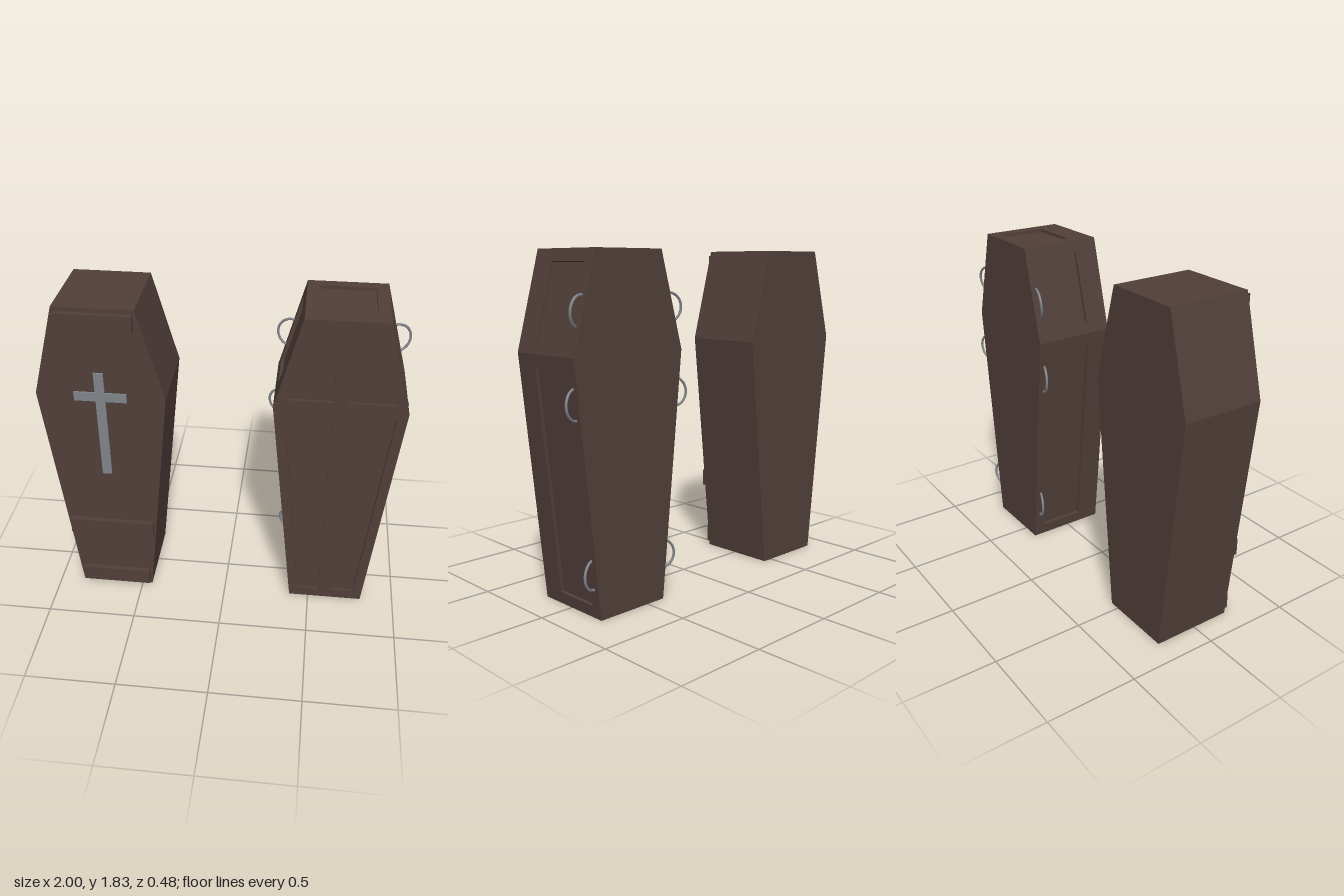
import * as THREE from 'three';

const FRONT = 0.215, BACK = -0.24, RECESS = 0.018;
const wood = new THREE.MeshStandardMaterial({ name: 'dark wood', color: 0x513f39 });
const metal = new THREE.MeshStandardMaterial({ name: 'grey metal', color: 0x808389 });

// Six-sided outline, counter-clockwise from the right foot corner
const OUTLINE = [[0.21, 0], [0.347, 1.318], [0.21, 1.825], [-0.21, 1.825], [-0.347, 1.318], [-0.21, 0]]
  .map(([x, y]) => new THREE.Vector2(x, y));

function add(parent, name, geometry, material) {
  const mesh = new THREE.Mesh(geometry, material);
  mesh.name = name;
  parent.add(mesh);
  return mesh;
}

function rectangle(x0, y0, x1, y1) {
  return [[x0, y0], [x1, y0], [x1, y1], [x0, y1]].map(([x, y]) => new THREE.Vector2(x, y));
}

// Flat face in the xy plane with sunken panels (panels run counter-clockwise)
function panelledFace(outline, panels) {
  const pos = [];
  const addShape = (shape, z) => {
    const g = new THREE.ShapeGeometry(shape).toNonIndexed();
    g.translate(0, 0, z);
    for (const v of g.attributes.position.array) pos.push(v);
  };
  const face = new THREE.Shape(outline);
  face.holes = panels.map((p) => new THREE.Path(p));
  addShape(face, 0);
  for (const p of panels) {
    addShape(new THREE.Shape(p), -RECESS);
    p.forEach((a, i) => {
      const b = p[(i + 1) % p.length];
      pos.push(a.x, a.y, 0, b.x, b.y, 0, b.x, b.y, -RECESS);
      pos.push(a.x, a.y, 0, b.x, b.y, -RECESS, a.x, a.y, -RECESS);
    });
  }
  const g = new THREE.BufferGeometry();
  g.setAttribute('position', new THREE.Float32BufferAttribute(pos, 3));
  g.computeVertexNormals();
  return g;
}

function plainCoffin() {
  const coffin = new THREE.Group();
  coffin.name = 'plainCoffin';
  const body = new THREE.ExtrudeGeometry(new THREE.Shape(OUTLINE), { depth: FRONT - BACK, bevelEnabled: false });
  body.translate(0, 0, BACK);
  add(coffin, 'coffinBody', body, wood);

  // Raised boards across the lid
  for (const [name, width, y] of [['topBoard', 0.4, 1.753], ['middleBoard', 0.484, 0.438], ['footBoard', 0.4, 0.067]]) {
    add(coffin, name, new THREE.BoxGeometry(width, 0.095, 0.027), wood).position.set(0, y, FRONT + 0.0135);
  }

  // Thin cross in one piece
  const cross = new THREE.Shape([
    [-0.026, 0.82], [0.026, 0.82], [0.026, 1.29], [0.141, 1.29], [0.141, 1.342], [0.026, 1.342],
    [0.026, 1.46], [-0.026, 1.46], [-0.026, 1.342], [-0.141, 1.342], [-0.141, 1.29], [-0.026, 1.29],
  ].map(([x, y]) => new THREE.Vector2(x, y)));
  const plate = new THREE.ExtrudeGeometry(cross, { depth: 0.009, bevelEnabled: false });
  add(coffin, 'cross', plate, metal).position.z = FRONT;
  return coffin;
}

function panelledCoffin() {
  const coffin = new THREE.Group();
  coffin.name = 'panelledCoffin';

  // Lid with four sunken panels, mirrored left to right
  const right = [
    [[0.039, 0.056], [0.164, 0.056], [0.288, 1.282], [0.039, 1.282]],
    [[0.039, 1.363], [0.281, 1.363], [0.168, 1.772], [0.039, 1.772]],
  ].map((p) => p.map(([x, y]) => new THREE.Vector2(x, y)));
  const left = right.map((p) => p.map((v) => new THREE.Vector2(-v.x, v.y)).reverse());
  add(coffin, 'lid', panelledFace(OUTLINE, [...right, ...left]), wood).position.z = FRONT;

  // Plain back
  const back = add(coffin, 'back', panelledFace(OUTLINE, []), wood);
  back.position.z = BACK;
  back.rotation.y = Math.PI;

  // One sunken panel on each of the six sides
  const names = ['leftLowerSide', 'leftUpperSide', 'headEnd', 'rightUpperSide', 'rightLowerSide', 'footEnd'];
  OUTLINE.forEach((a, i) => {
    const b = OUTLINE[(i + 1) % 6];
    const length = a.distanceTo(b);
    const along = new THREE.Vector3((b.x - a.x) / length, (b.y - a.y) / length, 0);
    const out = new THREE.Vector3(along.y, -along.x, 0);
    const inset = 0.064;
    const g = panelledFace(rectangle(-FRONT, 0, -BACK, length), [rectangle(-0.08, inset, 0.18, length - inset)]);
    g.applyMatrix4(new THREE.Matrix4().makeBasis(new THREE.Vector3(0, 0, -1), along, out).setPosition(a.x, a.y, 0));
    add(coffin, names[i], g, wood);
  });

  // Three half-ring handles on each side, leaning slightly backwards
  const ring = new THREE.TorusGeometry(0.077, 0.007, 8, 28, Math.PI);
  for (const side of [1, -1]) {
    for (const [y, from] of [[0.235, 0], [1.095, 0], [1.532, 1]]) {
      const a = OUTLINE[from], b = OUTLINE[from + 1];
      const x = a.x + (b.x - a.x) * (y - a.y) / (b.y - a.y);
      const along = new THREE.Vector3(side * (b.x - a.x), b.y - a.y, 0).normalize();
      const out = new THREE.Vector3(side * along.y, -side * along.x, -0.32).normalize();
      const handle = add(coffin, side > 0 ? 'leftHandle' : 'rightHandle', ring, metal);
      const across = along.clone().negate();
      handle.quaternion.setFromRotationMatrix(
        new THREE.Matrix4().makeBasis(across, out, across.clone().cross(out)));
      handle.position.set(side * (x - 0.008), y, -0.206);
    }
  }
  return coffin;
}

export function createModel() {
  const model = new THREE.Group();
  model.name = 'coffins';
  const plain = plainCoffin();
  plain.position.x = -0.653;
  const panelled = panelledCoffin();
  panelled.position.x = 0.6;
  model.add(plain, panelled);
  return model;
}
